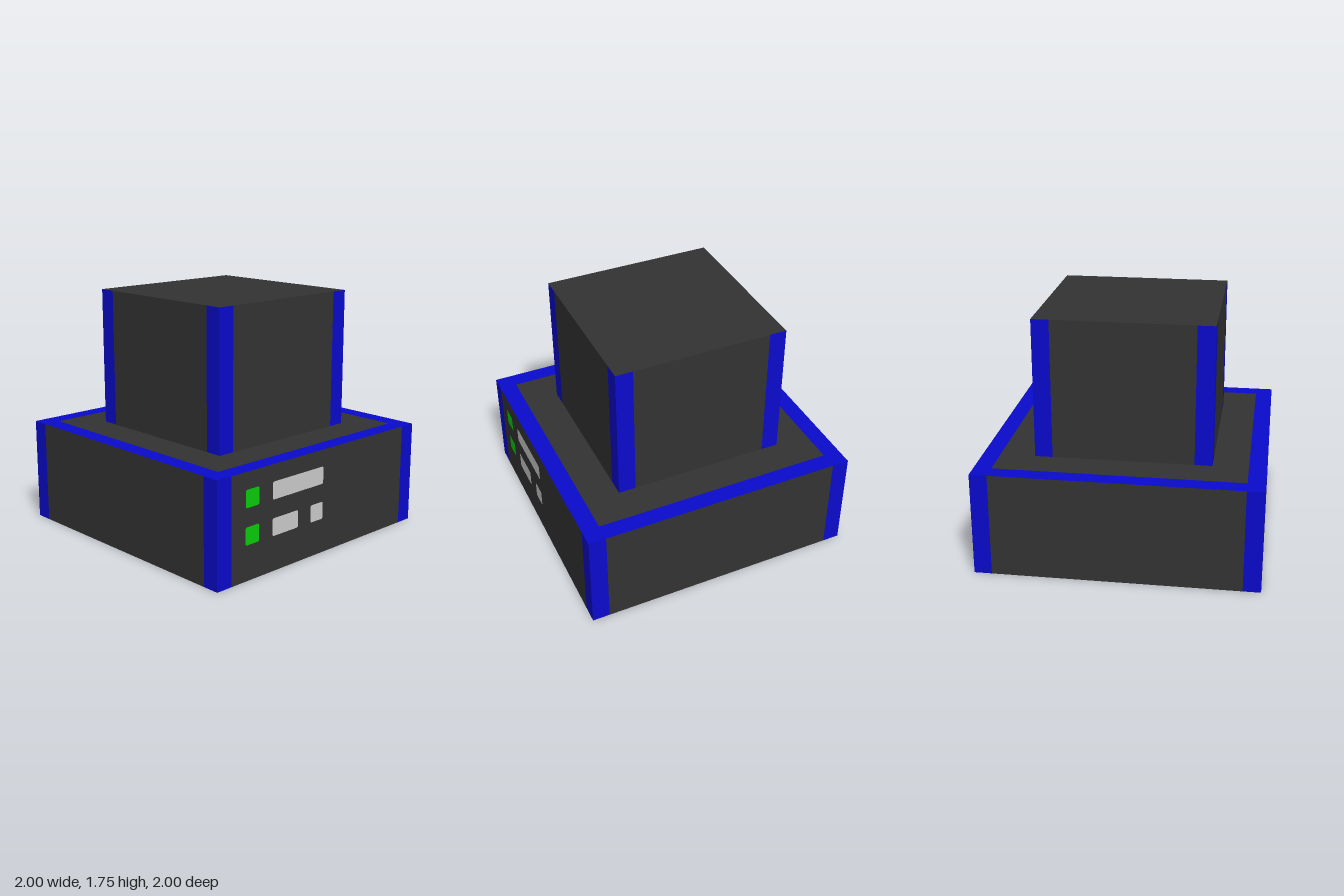
import * as THREE from 'three';

const material = (name, color) => {
  const m = new THREE.MeshStandardMaterial({ color });
  m.name = name;
  return m;
};

export function createModel() {
  const dark = material('charcoal', 0x333333);
  const blue = material('blue', 0x0a0acc);
  const green = material('green', 0x0acc0a);
  const grey = material('light grey', 0xcccccc);
  const model = new THREE.Group();
  const trim = 0.125;

  const add = (parent, name, geometry, mat) => {
    const mesh = new THREE.Mesh(geometry, mat);
    mesh.name = name;
    parent.add(mesh);
    return mesh;
  };

  // Square block: each wall is a dark panel between two blue corner strips
  function block(name, width, height, y) {
    const group = new THREE.Group();
    group.name = name;
    group.position.y = y;
    const half = width / 2;
    for (let i = 0; i < 4; i++) {
      const wall = new THREE.Group();
      wall.name = 'wall';
      wall.rotation.y = i * Math.PI / 2;
      add(wall, 'wallPanel', new THREE.PlaneGeometry(width - 2 * trim, height), dark)
        .position.set(0, height / 2, half);
      for (const side of [-1, 1]) {
        add(wall, 'cornerStrip', new THREE.PlaneGeometry(trim, height), blue)
          .position.set(side * (half - trim / 2), height / 2, half);
      }
      group.add(wall);
    }
    const floor = add(group, 'underside', new THREE.PlaneGeometry(width, width), dark);
    floor.rotation.x = Math.PI / 2;
    model.add(group);
    return group;
  }

  function lid(parent, name, width, y) {
    const top = add(parent, name, new THREE.PlaneGeometry(width, width), dark);
    top.rotation.x = -Math.PI / 2;
    top.position.y = y;
  }

  // Wide base with a blue border around its top
  const base = block('base', 2, 0.75, 0);
  lid(base, 'baseTop', 2 - 2 * trim, 0.75);
  const square = (h) => [[-h, -h], [h, -h], [h, h], [-h, h]].map(([x, y]) => new THREE.Vector2(x, y));
  const border = new THREE.Shape(square(1));
  border.holes.push(new THREE.Path(square(1 - trim)));
  const rim = add(base, 'topBorder', new THREE.ShapeGeometry(border), blue);
  rim.rotation.x = -Math.PI / 2;
  rim.position.y = 0.75;

  // Tower
  const tower = block('tower', 1.25, 1, 0.75);
  lid(tower, 'towerTop', 1.25, 1);

  // Rounded control plates on the +x side: [name, front z, back z, bottom y, colour]
  const controls = [
    ['upperLight', 0.75, 0.625, 0.505, green],
    ['lowerLight', 0.75, 0.625, 0.25, green],
    ['longDisplay', 0.5, 0, 0.505, grey],
    ['shortDisplay', 0.5, 0.25, 0.25, grey],
    ['button', 0.125, 0, 0.25, grey],
  ];
  for (const [name, z0, z1, y, mat] of controls) {
    const r = 0.014, x0 = -z0, x1 = -z1, y1 = y + 0.125;
    const s = new THREE.Shape();
    s.absarc(x1 - r, y + r, r, -Math.PI / 2, 0);
    s.absarc(x1 - r, y1 - r, r, 0, Math.PI / 2);
    s.absarc(x0 + r, y1 - r, r, Math.PI / 2, Math.PI);
    s.absarc(x0 + r, y + r, r, Math.PI, Math.PI * 1.5);
    const plate = add(base, name, new THREE.ShapeGeometry(s, 4), mat);
    plate.rotation.y = Math.PI / 2;
    plate.position.x = 1.002;
  }

  return model;
}
